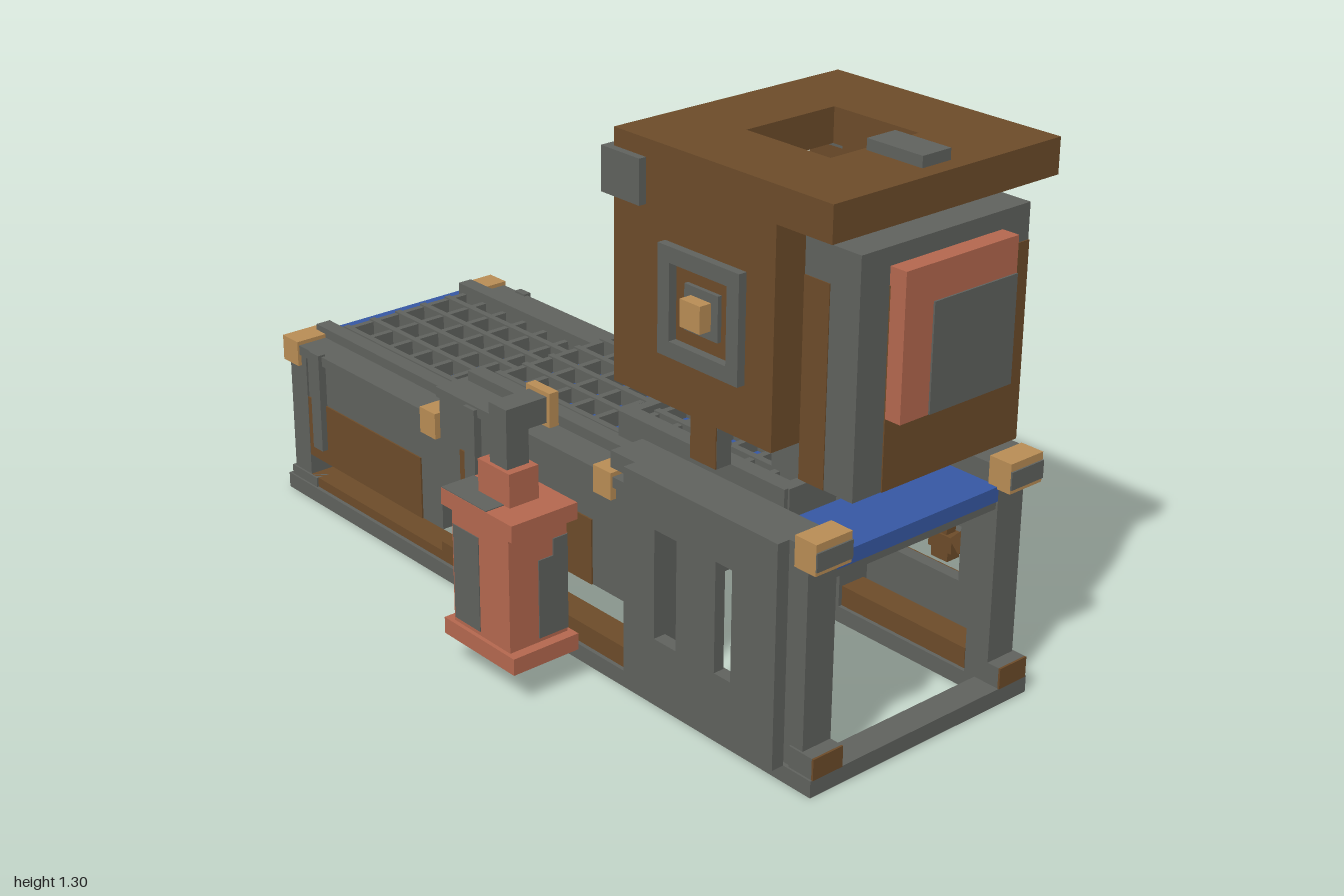
import * as THREE from 'three';

const mat = (name, color) => Object.assign(new THREE.MeshStandardMaterial({ color }), { name });

export function createModel() {
  const model = new THREE.Group();
  model.name = 'conveyorMachine';
  const grey = mat('steelGrey', 0x60625e), brown = mat('rustBrown', 0x6d4c2a), tan = mat('brassTan', 0xb98d55);
  const blue = mat('beltBlue', 0x3658a4), red = mat('copperRed', 0xb5684f);
  const C = 0.03; // mid line of the machine
  let target = model;
  const part = (name) => { target = new THREE.Group(); target.name = name; model.add(target); };
  // box given by its limits
  const box = (name, m, x0, x1, y0, y1, z0, z1) => {
    const mesh = new THREE.Mesh(new THREE.BoxGeometry(x1 - x0, y1 - y0, z1 - z0), m);
    mesh.position.set((x0 + x1) / 2, (y0 + y1) / 2, (z0 + z1) / 2);
    mesh.name = name;
    target.add(mesh);
    return mesh;
  };
  // the same box on both sides, x measured out from the mid line
  const pair = (name, m, d0, d1, ...r) => {
    box(name + 'Left', m, C + d0, C + d1, ...r);
    box(name + 'Right', m, C - d1, C - d0, ...r);
  };
  // rectangular plate with a rectangular hole, drawn in z and y, thick in x
  const holedPanel = (name, m, x0, x1, [z0, z1, y0, y1], [a0, a1, b0, b1]) => {
    const rect = (S, l, r, b, t) => new S([[l, b], [r, b], [r, t], [l, t]].map((p) => new THREE.Vector2(...p)));
    const s = rect(THREE.Shape, -z1, -z0, y0, y1);
    s.holes.push(rect(THREE.Path, -a1, -a0, b0, b1));
    const g = new THREE.ExtrudeGeometry(s, { depth: x1 - x0, bevelEnabled: false }).rotateY(Math.PI / 2);
    const mesh = new THREE.Mesh(g, m);
    mesh.position.x = x0;
    mesh.name = name;
    target.add(mesh);
  };
  // blue belt between y0 and y1, with a deep grid of bars up to yTop
  const grating = (y0, y1, yTop, z0, z1, rows) => {
    box('belt', blue, -0.2, 0.26, y0, y1, z0, z1);
    for (let i = 0; i < 5; i++) {
      const x = -0.135 + i * 0.08;
      box('longBar', grey, x - 0.008, x + 0.008, y1, yTop, z0 + 0.03, z1 - 0.01);
    }
    for (let i = 0; i <= rows; i++) {
      const z = z0 + 0.04 + (z1 - z0 - 0.05) * i / rows;
      box('crossBar', grey, -0.18, 0.24, y1, yTop - 0.004, z - 0.008, z + 0.008);
    }
  };

  part('baseFrame');
  pair('groundRail', grey, 0.24, 0.33, 0, 0.04, -0.97, 0.95);
  box('frontGroundBeam', grey, -0.21, 0.27, 0, 0.04, 0.88, 0.95);
  box('backGroundBeam', grey, -0.21, 0.27, 0, 0.04, -0.95, -0.87);
  pair('lowerRail', brown, 0.25, 0.32, 0.04, 0.09, -0.32, 0.84);
  pair('rearLowerRail', brown, 0.25, 0.32, 0.04, 0.065, -0.88, -0.32);
  pair('frontFoot', grey, 0.24, 0.325, 0.04, 0.09, 0.88, 0.947);
  pair('frontFootPlate', brown, 0.24, 0.325, 0.04, 0.09, 0.947, 0.952);
  pair('rearFoot', grey, 0.24, 0.325, 0.04, 0.065, -0.96, -0.85);
  pair('frontPost', grey, 0.24, 0.32, 0.04, 0.52, 0.85, 0.915);
  pair('middlePost', grey, 0.24, 0.33, 0.04, 0.52, 0.4, 0.46);
  pair('rearPost', grey, 0.24, 0.32, 0.04, 0.4, -0.95, -0.88);

  part('rearConveyor');
  grating(0.34, 0.38, 0.42, -0.955, -0.31, 7);
  pair('rearInnerRail', grey, 0.205, 0.245, 0.36, 0.44, -0.94, -0.34);
  pair('rearSide', grey, 0.24, 0.315, 0.12, 0.4, -0.89, -0.32);
  pair('rearSidePatch', brown, 0.31, 0.319, 0.12, 0.28, -0.88, -0.4);
  pair('rearDeck', grey, 0.23, 0.325, 0.39, 0.415, -0.91, -0.34);
  pair('rearCap', tan, 0.23, 0.33, 0.36, 0.425, -0.965, -0.9);
  pair('innerCap', tan, 0.23, 0.33, 0.36, 0.425, -0.38, -0.32);
  pair('rearPeg', grey, 0.315, 0.335, 0.16, 0.42, -0.84, -0.8);
  box('backPanel', blue, -0.21, 0.27, 0.01, 0.4, -0.977, -0.955);
  box('backBar', grey, -0.21, 0.27, 0.18, 0.22, -1, -0.945);

  part('middleConveyor');
  grating(0.4, 0.46, 0.5, -0.32, 0.32, 7);
  pair('middleInnerRail', grey, 0.205, 0.245, 0.44, 0.52, -0.3, 0.3);
  pair('middleSide', grey, 0.24, 0.315, 0.2, 0.48, -0.32, 0.4);
  pair('middleSidePatch', brown, 0.31, 0.319, 0.2, 0.36, -0.24, 0.24);
  pair('middleDeck', grey, 0.23, 0.325, 0.47, 0.495, -0.32, 0.4);
  pair('middleCap', tan, 0.23, 0.33, 0.44, 0.505, 0.26, 0.32);
  pair('middlePeg', grey, 0.315, 0.335, 0.25, 0.49, -0.2, -0.16);
  box('driveBox', grey, -0.21, 0.27, 0.24, 0.4, 0.32, 0.44);

  part('frontConveyor');
  grating(0.54, 0.56, 0.595, 0.25, 0.755, 6);
  pair('bedRail', grey, 0.2, 0.24, 0.54, 0.6, 0.24, 0.76);
  box('bedFrontBeam', grey, -0.2, 0.26, 0.54, 0.6, 0.735, 0.765);
  box('bedBackBeam', grey, -0.2, 0.26, 0.54, 0.595, 0.235, 0.26);
  box('apron', blue, -0.21, 0.27, 0.48, 0.515, 0.74, 0.915);
  box('apronBeam', grey, -0.21, 0.27, 0.46, 0.48, 0.86, 0.91);
  pair('frontTopRail', grey, 0.24, 0.33, 0.52, 0.56, 0.32, 0.91);
  pair('frontCap', tan, 0.235, 0.335, 0.51, 0.58, 0.89, 0.95);
  pair('frontCapPlate', grey, 0.235, 0.335, 0.52, 0.562, 0.95, 0.954);
  const panel = [0.4, 0.87, 0.04, 0.56], hole = [0.5, 0.74, 0.19, 0.45];
  holedPanel('leftSidePanel', grey, C + 0.33, C + 0.362, panel, hole);
  holedPanel('leftSidePatch', brown, C + 0.362, C + 0.365, [0.46, 0.82, 0.15, 0.5], hole);
  holedPanel('rightSidePanel', grey, C - 0.362, C - 0.33, panel, hole);
  box('rightSideSlat', grey, C - 0.362, C - 0.335, 0.19, 0.45, 0.57, 0.69);

  part('roof');
  box('roofBack', brown, -0.29, 0.35, 1.2, 1.28, 0.32, 0.51);
  box('roofFront', brown, -0.29, 0.35, 1.2, 1.28, 0.75, 0.95);
  box('roofLeft', brown, 0.15, 0.35, 1.2, 1.28, 0.51, 0.75);
  box('roofRight', brown, -0.29, -0.1, 1.2, 1.28, 0.51, 0.75);
  box('roofLatch', grey, -0.01, 0.07, 1.28, 1.305, 0.76, 0.91);

  part('houseWalls');
  pair('sideWall', brown, 0.24, 0.32, 0.72, 1.2, 0.32, 0.8);
  box('backBeam', tan, -0.21, 0.27, 1.14, 1.2, 0.315, 0.37);
  pair('backPost', tan, 0.165, 0.205, 0.76, 1.16, 0.295, 0.325);
  pair('cornerBlock', grey, 0.24, 0.338, 1.14, 1.24, 0.3, 0.42);
  box('frontBlock', grey, -0.21, 0.27, 0.64, 1.16, 0.72, 0.95);
  box('frontBlockPatch', brown, -0.13, 0.27, 0.64, 1.08, 0.948, 0.953);
  pair('frontBlockSidePatch', brown, 0.236, 0.242, 0.64, 1.08, 0.8, 0.87);
  box('frontPlate', red, -0.13, 0.19, 0.8, 1.12, 0.95, 0.993);
  box('frontPlatePatch', grey, -0.05, 0.189, 0.801, 1.04, 0.99, 0.997);
  pair('sideBracket', grey, 0.24, 0.28, 0.6, 0.72, 0.52, 0.6);
  pair('sideBracketPatch', brown, 0.278, 0.283, 0.6, 0.72, 0.521, 0.599);
  box('sideBox', grey, 0.27, 0.39, 0.65, 0.8, 0.52, 0.68);
  // hatch on the right wall
  holedPanel('hatchFrame', grey, -0.31, -0.288, [0.48, 0.72, 0.84, 1.08], [0.515, 0.685, 0.875, 1.045]);
  box('hatchPanel', grey, -0.3, -0.29, 0.91, 1.01, 0.55, 0.65);
  box('hatchKnob', tan, -0.33, -0.3, 0.93, 0.99, 0.57, 0.63);

  part('chute');
  box('chuteTop', grey, -0.09, 0.15, 0.68, 0.74, 0.36, 0.48);
  box('chuteFlap', blue, -0.05, 0.11, 0.52, 0.69, 0.375, 0.39);

  part('wheel');
  for (let i = 0; i < 8; i++) {
    const a = i * Math.PI / 4, r = 0.095;
    const rim = box('rimBlock', brown, 0.41, 0.45, -0.02, 0.02, -0.035, 0.035);
    rim.position.set(0.43, 0.325 + r * Math.cos(a), 0.635 + r * Math.sin(a));
    rim.rotation.x = a;
    if (i % 2) continue;
    const tooth = box('tooth', brown, 0.41, 0.45, -0.02, 0.02, -0.025, 0.025);
    tooth.position.set(0.43, 0.325 + 0.118 * Math.cos(a), 0.635 + 0.118 * Math.sin(a));
    tooth.rotation.x = a;
  }
  box('spokeUpright', brown, 0.415, 0.445, 0.22, 0.43, 0.62, 0.65);
  box('spokeLevel', brown, 0.415, 0.445, 0.31, 0.34, 0.53, 0.74);
  box('axle', grey, 0.36, 0.45, 0.305, 0.345, 0.615, 0.655);
  box('hub', grey, 0.45, 0.48, 0.265, 0.385, 0.575, 0.7);
  box('hubKnob', tan, 0.48, 0.497, 0.315, 0.335, 0.61, 0.63);

  part('wheelGuard');
  box('upperArm', grey, 0.36, 0.53, 0.46, 0.48, 0.35, 0.37);
  box('upperRail', grey, 0.5, 0.53, 0.46, 0.48, 0.35, 0.46);
  box('guardPost', grey, 0.5, 0.53, 0.2, 0.48, 0.44, 0.46);
  box('lowerRail', grey, 0.495, 0.54, 0.2, 0.22, 0.44, 0.75);
  box('lowerArm', grey, 0.36, 0.53, 0.2, 0.22, 0.44, 0.46);
  box('endPost', grey, 0.495, 0.54, 0.2, 0.4, 0.73, 0.75);
  for (const y of [0.29, 0.345]) box('guardBar', grey, 0.505, 0.525, y, y + 0.015, 0.56, 0.75);
  box('guardUpright', grey, 0.505, 0.525, 0.22, 0.4, 0.56, 0.575);

  part('tank');
  box('tankBase', red, -0.54, -0.36, 0.08, 0.12, 0.03, 0.28);
  box('tankBody', red, -0.53, -0.37, 0.12, 0.4, 0.055, 0.255);
  box('tankLid', red, -0.54, -0.36, 0.4, 0.44, 0.03, 0.28);
  box('tankNeck', red, -0.49, -0.41, 0.44, 0.52, 0.1, 0.21);
  box('lidPatch', grey, -0.539, -0.45, 0.437, 0.442, 0.031, 0.19);
  box('frontPatchLow', grey, -0.45, -0.37, 0.13, 0.32, 0.252, 0.258);
  box('frontPatchHigh', grey, -0.41, -0.37, 0.32, 0.36, 0.252, 0.258);
  box('sidePatch', grey, -0.532, -0.527, 0.13, 0.36, 0.06, 0.15);
  box('innerPatch', grey, -0.373, -0.368, 0.13, 0.36, 0.15, 0.255);
  box('pipe', grey, -0.48, -0.42, 0.52, 0.66, 0.13, 0.19);
  box('pipeElbow', grey, -0.42, -0.365, 0.6, 0.66, 0.13, 0.19);
  box('pipeEnd', tan, -0.37, -0.345, 0.59, 0.67, 0.12, 0.2);
  return model;
}
